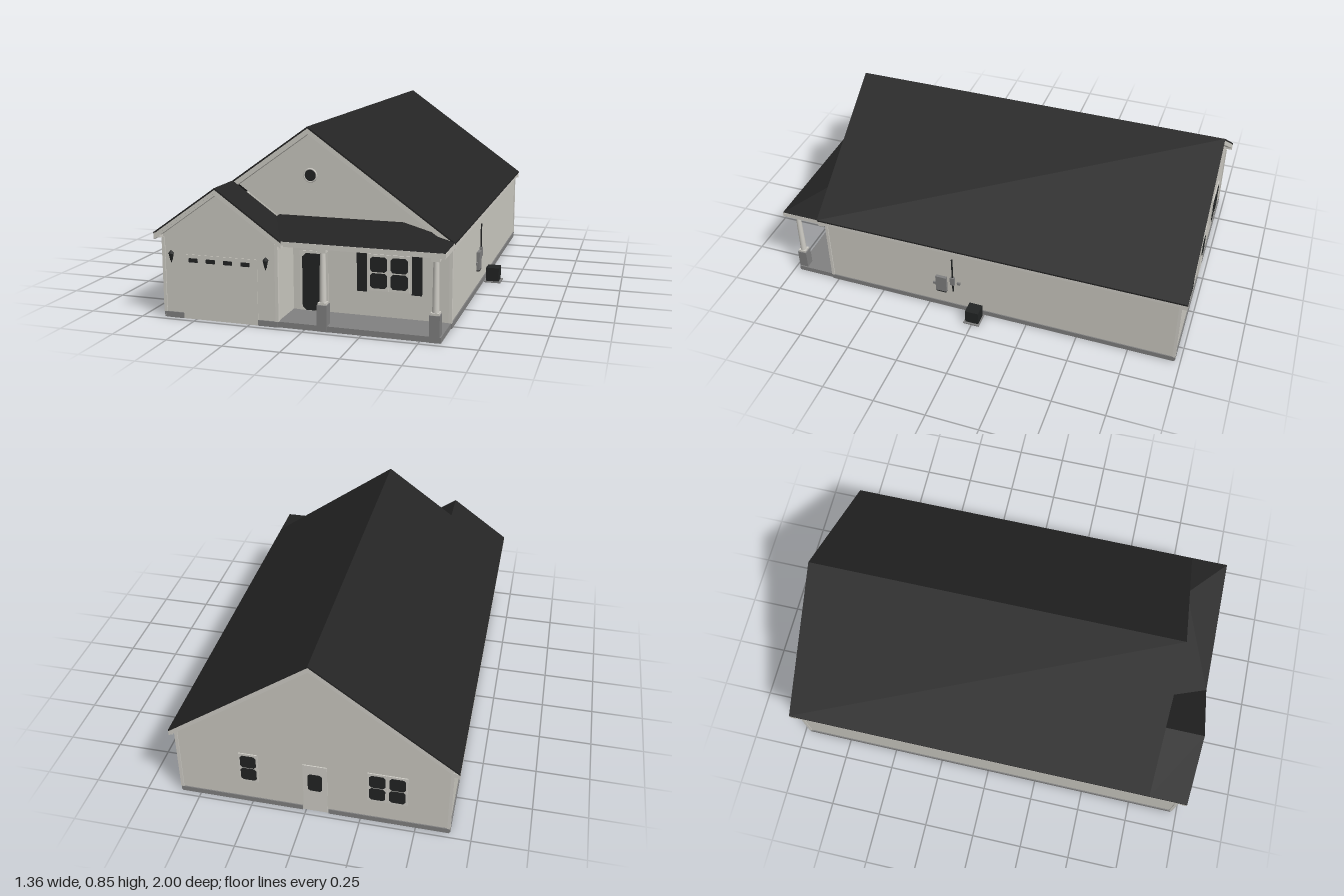
import * as THREE from 'three';

const mat = (name, color) => {
  const m = new THREE.MeshStandardMaterial({ color, side: THREE.DoubleSide });
  m.name = name;
  return m;
};

export function createModel() {
  const house = new THREE.Group();
  house.name = 'house';
  const siding = mat('siding', 0xcbc9c1);
  const trim = mat('trim', 0xcfcdc6);
  const shingle = mat('shingle', 0x242424);
  const stone = mat('stone', 0x808080);
  const dark = mat('dark glass and metal', 0x222424);

  const add = (name, geo, m, parent = house) => {
    const mesh = new THREE.Mesh(geo, m);
    mesh.name = name;
    parent.add(mesh);
    return mesh;
  };
  // Box given by its minimum and maximum corners
  const box = (name, m, x0, x1, y0, y1, z0, z1, parent) => {
    const g = new THREE.BoxGeometry(x1 - x0, y1 - y0, z1 - z0);
    g.translate((x0 + x1) / 2, (y0 + y1) / 2, (z0 + z1) / 2);
    return add(name, g, m, parent);
  };
  // Outline in x and y, extruded from z0 to z1
  const prism = (name, m, pts, z0, z1) => {
    const s = new THREE.Shape(pts.map(p => new THREE.Vector2(p[0], p[1])));
    const g = new THREE.ExtrudeGeometry(s, { depth: z1 - z0, bevelEnabled: false });
    g.translate(0, 0, z0);
    return add(name, g, m);
  };
  // Band of vertical thickness t hanging below a roof line
  const band = (name, m, line, drop, t, z0, z1) => prism(name, m, [
    ...line.map(p => [p[0], p[1] - drop - t]),
    ...line.map(p => [p[0], p[1] - drop]).reverse()], z0, z1);

  const mainLine = [[-0.68, 0.385], [-0.035, 0.845], [0.61, 0.385]];
  const garageLine = [[-0.68, 0.385], [-0.385, 0.595], [-0.09, 0.385]];

  // Walls
  box('rightWall', siding, 0.58, 0.59, 0, 0.385, -0.97, 0.78);
  box('leftWall', siding, -0.65, -0.64, 0, 0.385, -0.97, 0.97);
  box('garageSideWall', siding, -0.13, -0.12, 0, 0.39, 0.77, 0.97);
  prism('backWall', siding,
    [[-0.65, 0], [0.59, 0], [0.59, 0.39], [-0.035, 0.835], [-0.65, 0.39]], -0.97, -0.96);
  prism('porchGableWall', siding,
    [[-0.12, 0], [0.59, 0], [0.59, 0.39], [-0.035, 0.835], [-0.385, 0.585], [-0.12, 0.395]], 0.77, 0.78);
  prism('garageFrontWall', siding,
    [[-0.65, 0], [-0.12, 0], [-0.12, 0.395], [-0.385, 0.585], [-0.65, 0.395]], 0.96, 0.97);

  // Roofs and boxed rake overhangs
  band('mainRoof', shingle, mainLine, 0, 0.008, -1, 0.815);
  band('garageRoof', shingle, garageLine, 0, 0.008, 0.815, 1);
  band('backRake', trim, mainLine, 0.008, 0.025, -0.998, -0.97);
  band('frontRake', trim, mainLine.slice(1).concat().reverse().concat([[-0.385, 0.595]]).reverse(),
    0.008, 0.025, 0.78, 0.813);
  band('garageRake', trim, garageLine, 0.006, 0.027, 0.97, 0.998);
  band('garageRakeFace', trim, garageLine, 0.008, 0.014, 0.998, 1);

  // Hipped porch roof: front slope and right slope
  const porch = new THREE.BufferGeometry();
  porch.setAttribute('position', new THREE.Float32BufferAttribute([
    -0.09, 0.385, 1, 0.61, 0.385, 1, 0.38, 0.45, 0.815,
    -0.09, 0.385, 1, 0.38, 0.45, 0.815, -0.18, 0.45, 0.815,
    0.61, 0.385, 1, 0.61, 0.385, 0.78, 0.38, 0.45, 0.815,
    0.38, 0.45, 0.815, 0.38, 0.45, 0.78, -0.18, 0.45, 0.78,
    0.38, 0.45, 0.815, -0.18, 0.45, 0.78, -0.18, 0.45, 0.815,
    0.61, 0.385, 0.78, 0.38, 0.45, 0.78, 0.38, 0.45, 0.815], 3));
  porch.computeVertexNormals();
  add('porchRoof', porch, shingle);
  box('porchCeiling', trim, -0.12, 0.59, 0.358, 0.364, 0.78, 0.97);

  // Eaves and porch beam
  box('rightEave', trim, 0.59, 0.61, 0.362, 0.384, -1, 1);
  box('leftEave', trim, -0.68, -0.65, 0.362, 0.384, -1, 1);
  box('porchEave', trim, -0.09, 0.612, 0.368, 0.384, 0.97, 0.998);
  box('porchBeam', trim, -0.12, 0.585, 0.355, 0.375, 0.93, 0.97);

  // Corner boards
  for (const [x, z] of [[-0.648, -0.968], [0.588, -0.968], [-0.648, 0.968], [0.588, 0.778], [-0.122, 0.968]])
    box('cornerBoard', trim, x - 0.007, x + 0.007, 0.025, 0.362, z - 0.007, z + 0.007);

  // Foundation strips and porch slab
  box('porchFloor', stone, -0.12, 0.59, 0, 0.025, 0.78, 0.97);
  box('rightFoundation', stone, 0.58, 0.595, 0, 0.025, -0.97, 0.78);
  box('leftFoundation', stone, -0.655, -0.64, 0, 0.025, -0.97, 0.97);
  for (const [x0, x1] of [[-0.65, -0.105], [0.015, 0.59]])
    box('backFoundation', stone, x0, x1, 0, 0.025, -0.975, -0.96);
  for (const [x0, x1] of [[-0.645, -0.56], [-0.21, -0.12]])
    box('garageFoundation', stone, x0, x1, 0, 0.025, 0.96, 0.975);

  // Porch columns on stone piers
  for (const x of [0.078, 0.562]) {
    const column = new THREE.Group();
    column.name = 'porchColumn';
    house.add(column);
    box('pier', stone, x - 0.022, x + 0.022, 0, 0.115, 0.927, 0.972, column);
    const shaft = add('shaft', new THREE.CylinderGeometry(0.012, 0.015, 0.24, 16), trim, column);
    shaft.position.set(x, 0.235, 0.95);
    box('columnFoot', trim, x - 0.018, x + 0.018, 0.115, 0.125, 0.932, 0.968, column);
    box('capital', trim, x - 0.018, x + 0.018, 0.34, 0.355, 0.932, 0.968, column);
  }

  // Window: frame with rounded dark panes; dir is the facing along z
  const pane = (x, y, w, h, z) => {
    const r = Math.min(w, h) * 0.15, a = w / 2, b = h / 2;
    const pts = [[-a + r, -b], [a - r, -b], [a, -b + r], [a, b - r], [a - r, b], [-a + r, b], [-a, b - r], [-a, -b + r]];
    return prism('pane', dark, pts.map(p => [p[0] + x, p[1] + y]), z - 0.002, z + 0.002);
  };
  const sash = (x, y, w, h, z, dir) => {
    box('windowFrame', trim, x - w / 2 - 0.008, x + w / 2 + 0.008, y - h / 2 - 0.008, y + h / 2 + 0.008,
      z - 0.003, z + 0.003);
    for (const s of [-1, 1]) pane(x, y + s * h / 4, w, h / 2 - 0.006, z + dir * 0.004);
  };
  for (const x of [0.272, 0.364]) sash(x, 0.222, 0.075, 0.145, 0.782, 1);
  for (const x of [0.197, 0.442]) box('shutter', dark, x - 0.022, x + 0.022, 0.135, 0.312, 0.78, 0.788);
  for (const x of [0.26, -0.325, -0.415]) sash(x, 0.205, 0.072, 0.145, -0.972, -1);

  // Doors
  box('frontDoorFrame', trim, -0.088, 0.042, 0.025, 0.296, 0.779, 0.784);
  pane(-0.022, 0.156, 0.108, 0.258, 0.785);
  box('backDoor', trim, -0.1, 0.01, 0.005, 0.275, -0.975, -0.97);
  pane(-0.045, 0.178, 0.065, 0.095, -0.976);
  box('garageDoor', siding, -0.56, -0.21, 0, 0.29, 0.968, 0.973);
  for (let i = 0; i < 4; i++) pane(-0.507 + i * 0.081, 0.265, 0.042, 0.018, 0.974);

  // Round gable vent
  const ring = add('ventFrame', new THREE.TorusGeometry(0.028, 0.004, 6, 20), trim);
  ring.position.set(-0.035, 0.63, 0.782);
  const vent = add('ventDisc', new THREE.CircleGeometry(0.026, 20), dark);
  vent.position.set(-0.035, 0.63, 0.784);

  // Wall lanterns beside the garage door
  for (const x of [-0.605, -0.165]) {
    const lantern = new THREE.Group();
    lantern.name = 'lantern';
    lantern.position.set(x, 0.28, 0.986);
    house.add(lantern);
    const lamp = add('lampGlass', new THREE.CylinderGeometry(0.011, 0.005, 0.03, 6), dark, lantern);
    const cap = add('lampCap', new THREE.ConeGeometry(0.014, 0.016, 6), dark, lantern);
    cap.position.y = 0.021;
    lamp.position.y = -0.003;
    const tip = add('lampTip', new THREE.ConeGeometry(0.004, 0.014, 6), dark, lantern);
    tip.rotation.x = Math.PI;
    tip.position.y = -0.024;
    box('bracket', dark, -0.003, 0.003, -0.003, 0.003, -0.018, 0, lantern);
  }

  // Utility meter, mast and cooling unit on the right side
  box('meterBox', stone, 0.59, 0.605, 0.105, 0.192, 0.153, 0.208);
  box('meterBoxBase', dark, 0.59, 0.604, 0.098, 0.106, 0.155, 0.205);
  box('conduitTap', stone, 0.59, 0.598, 0.133, 0.145, 0.208, 0.226);
  box('meter', stone, 0.59, 0.603, 0.155, 0.2, 0.112, 0.134);
  box('outlet', stone, 0.59, 0.598, 0.16, 0.174, 0.085, 0.1);
  box('mast', dark, 0.592, 0.598, 0.11, 0.315, 0.119, 0.125);
  box('coolingPad', stone, 0.6, 0.68, 0, 0.006, -0.038, 0.042);
  box('coolingUnit', dark, 0.607, 0.67, 0.006, 0.073, -0.032, 0.034);

  return house;
}
